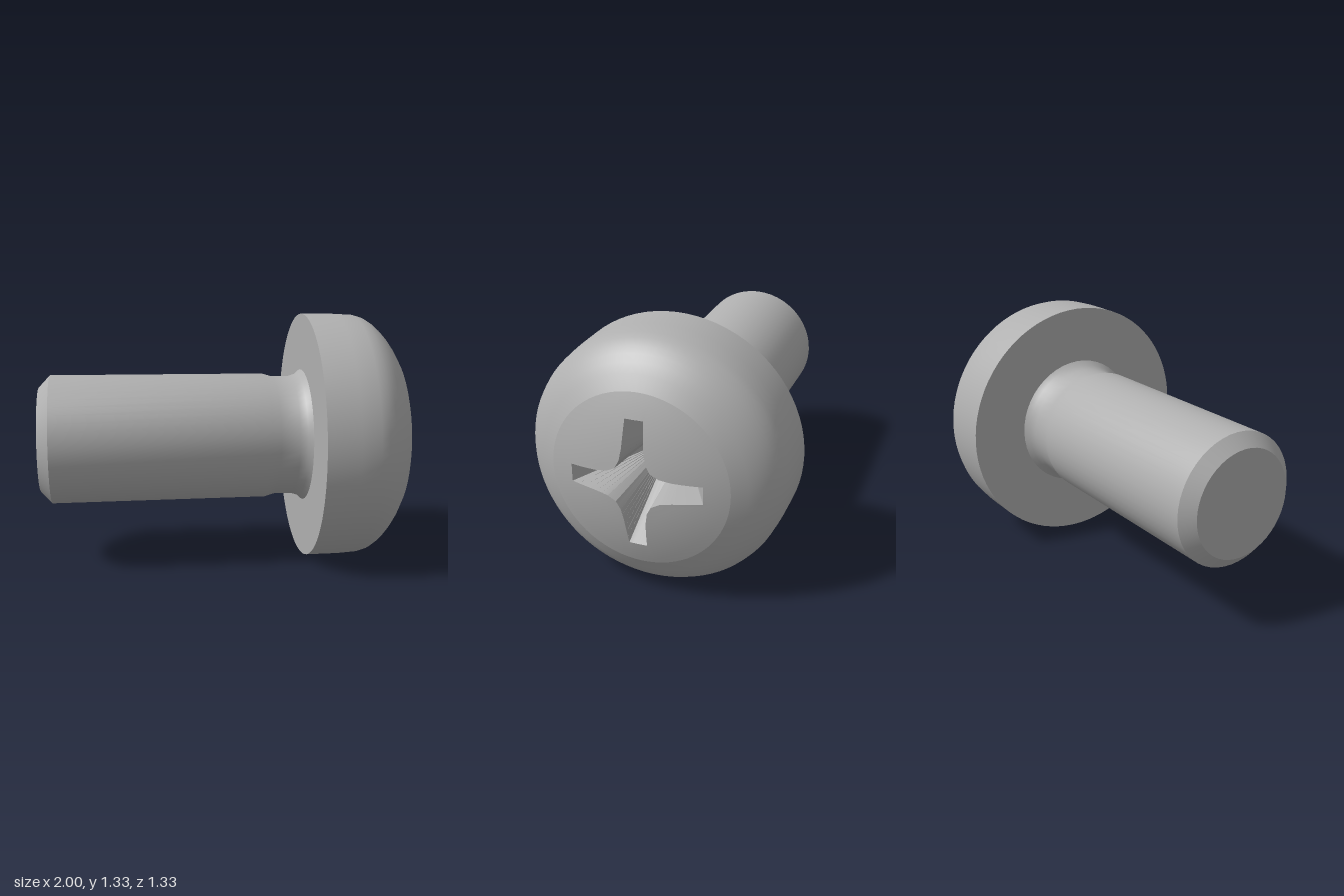
import * as THREE from 'three';
import { toCreasedNormals } from 'three/addons/utils/BufferGeometryUtils.js';

const SEGMENTS = 80;
const steel = new THREE.MeshStandardMaterial({ color: 0xb0b0b0 });
steel.name = 'steel grey';

const domeX = (r) => 1.003 - 0.42 * r * r;

// Turned part around the x axis; profile is a list of [x, radius]
function turned(name, profile, segments) {
  const points = profile.map(([x, r]) => new THREE.Vector2(r, x));
  const geo = new THREE.LatheGeometry(points, segments).rotateZ(-Math.PI / 2);
  const mesh = new THREE.Mesh(toCreasedNormals(geo, 0.5), steel);
  mesh.name = name;
  return mesh;
}

// Skin between loops of [x, y, z] points, ordered from the inside out
function loft(name, loops, crease) {
  const n = loops[0].length;
  const index = [];
  for (let k = 0; k < loops.length - 1; k++) {
    for (let i = 0; i < n; i++) {
      const j = (i + 1) % n;
      const a = k * n + i, b = a + n, c = (k + 1) * n + j, d = k * n + j;
      if (k > 0 || loops[0][0][1] !== loops[0][1][1]) index.push(a, c, d);
      index.push(a, b, c);
    }
  }
  const geo = new THREE.BufferGeometry();
  geo.setAttribute('position', new THREE.Float32BufferAttribute(loops.flat(2), 3));
  geo.setIndex(index);
  const mesh = new THREE.Mesh(toCreasedNormals(geo, crease), steel);
  mesh.name = name;
  return mesh;
}

// Four-armed outline from half of one arm (tip first, corner last)
function crossOutline(half) {
  const quadrant = [...half, ...half.slice(1, -1).reverse().map(([u, v]) => [v, u])];
  const corners = [];
  for (let q = 0; q < 4; q++) {
    const c = [1, 0, -1, 0][q], s = [0, 1, 0, -1][q];
    for (const [u, v] of quadrant) corners.push([u * c - v * s, u * s + v * c]);
  }
  // Halve every edge for a finer outline
  return corners.flatMap((p, i) => {
    const next = corners[(i + 1) % corners.length];
    return [p, [(p[0] + next[0]) / 2, (p[1] + next[1]) / 2]];
  });
}

export function createModel() {
  const screw = new THREE.Group();
  screw.name = 'screw';

  // Shank with chamfered tip, narrowed neck and flare under the head
  screw.add(turned('shank', [
    [-1, 0], [-1, 0.28], [-0.94, 0.345], [0.21, 0.34], [0.26, 0.325],
    [0.36, 0.325], [0.4, 0.338], [0.43, 0.365],
  ], 48));

  // Head side and rounded shoulder
  const rim = 0.45;
  screw.add(turned('head', [
    [0.425, 0], [0.425, 0.665], [0.6, 0.664], [0.7, 0.658], [0.745, 0.645], [0.785, 0.62],
    [0.815, 0.594], [0.845, 0.562], [0.875, 0.522], [domeX(rim), rim],
  ], SEGMENTS));

  // Domed face around the cross-shaped opening
  const outline = crossOutline([
    [0.33, 0], [0.33, 0.046], [0.26, 0.05], [0.19, 0.055], [0.13, 0.066], [0.088, 0.088],
  ]);
  const rings = [];
  for (let k = 0; k <= 6; k++) {
    const t = k / 6;
    rings.push(outline.map(([y, z], i) => {
      const uniform = (i / SEGMENTS) * Math.PI * 2;
      let start = Math.atan2(z, y);
      start += Math.round((uniform - start) / (Math.PI * 2)) * Math.PI * 2;
      const angle = start + (uniform - start) * t;
      const radius = Math.hypot(y, z) * (1 - t) + rim * t;
      return [domeX(radius), radius * Math.cos(angle), radius * Math.sin(angle)];
    }));
  }
  screw.add(loft('domedFace', rings, 0.5));

  // Tapered driver recess with a small flat floor
  const floorX = 0.5;
  const floor = crossOutline([
    [0.078, 0], [0.078, 0.03], [0.076, 0.036], [0.072, 0.042], [0.066, 0.048], [0.056, 0.056],
  ]).map(([y, z]) => [floorX, y, z]);
  const centre = floor.map(() => [floorX, 0, 0]);
  screw.add(loft('driverRecess', [centre, floor, rings[0]], 0.4));

  // Lift so the head rests on the ground
  for (const part of screw.children) part.position.y = 0.665;
  return screw;
}
